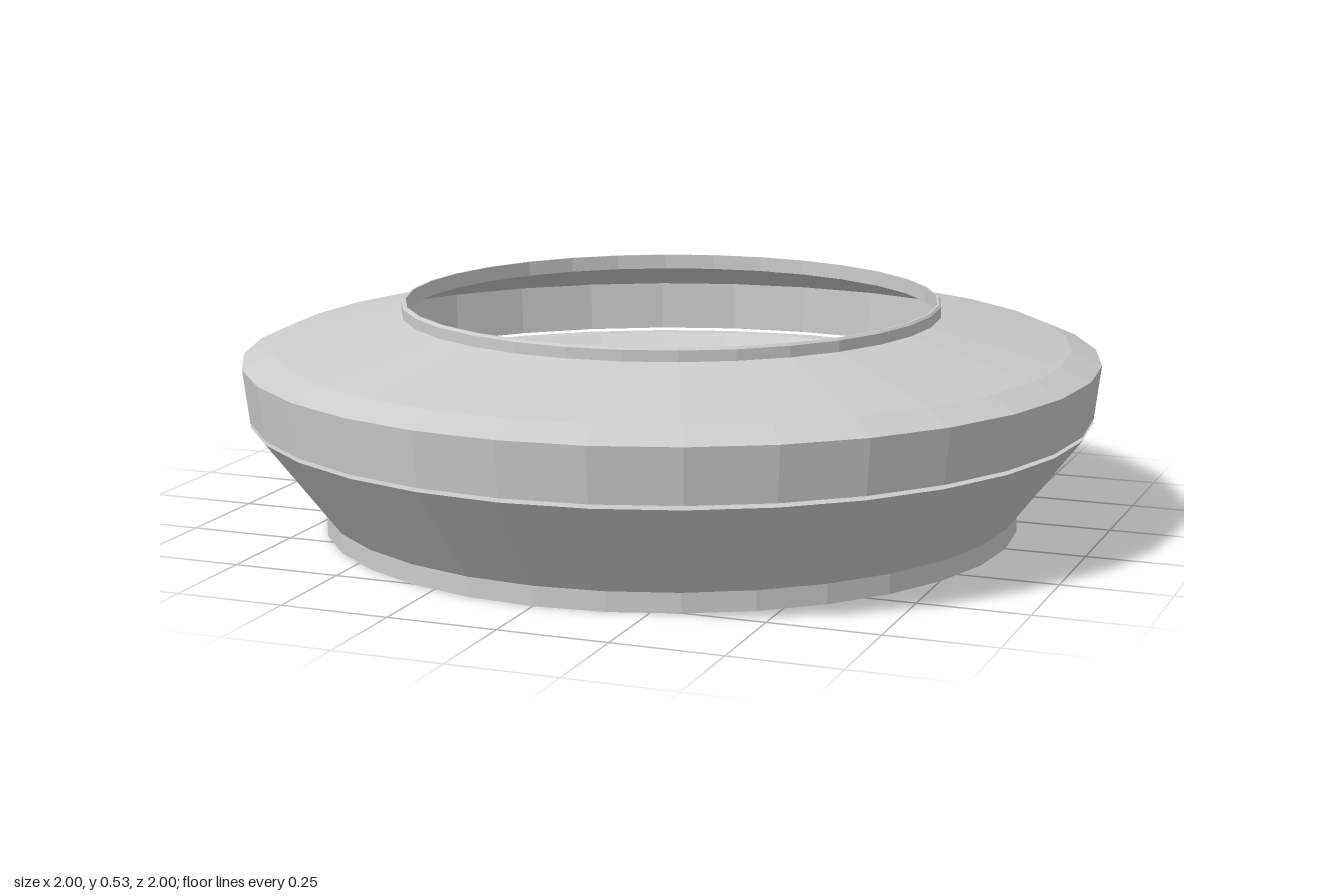
import * as THREE from 'three';

const SIDES = 32;

// Revolves a closed [radius, height] cross-section, listed counterclockwise
function ring(name, section) {
  const points = [...section, section[0]].map(([r, y]) => new THREE.Vector2(r, y));
  const material = new THREE.MeshStandardMaterial({
    color: 0xcccccc, flatShading: true, side: THREE.DoubleSide,
  });
  const mesh = new THREE.Mesh(new THREE.LatheGeometry(points, SIDES), material);
  mesh.name = name;
  return mesh;
}

export function createModel() {
  const group = new THREE.Group();
  group.name = 'bearingCup';

  // Lower cup: thin flared shell around a stepped conical seat, with a deep groove between
  group.add(ring('lowerCup', [
    [0.567, 0.06], [0.705, 0.06], [0.79, 0.165], [0.87, 0.25], [0.955, 0.25],
    [0.8, 0.05], [0.8, 0], [0.815, 0], [0.815, 0.045], [0.985, 0.266],
    [0.87, 0.266], [0.86, 0.283], [0.75, 0.215], [0.75, 0.174], [0.567, 0.075],
  ]));

  // Upper cap: thin sloped cover with a raised collar around the opening
  group.add(ring('upperCap', [
    [0.975, 0.275], [0.985, 0.275], [1, 0.4], [0.93, 0.43], [0.63, 0.5],
    [0.63, 0.525], [0.625, 0.53], [0.62, 0.53], [0.62, 0.495], [0.925, 0.418], [0.98, 0.395],
  ]));

  return group;
}
